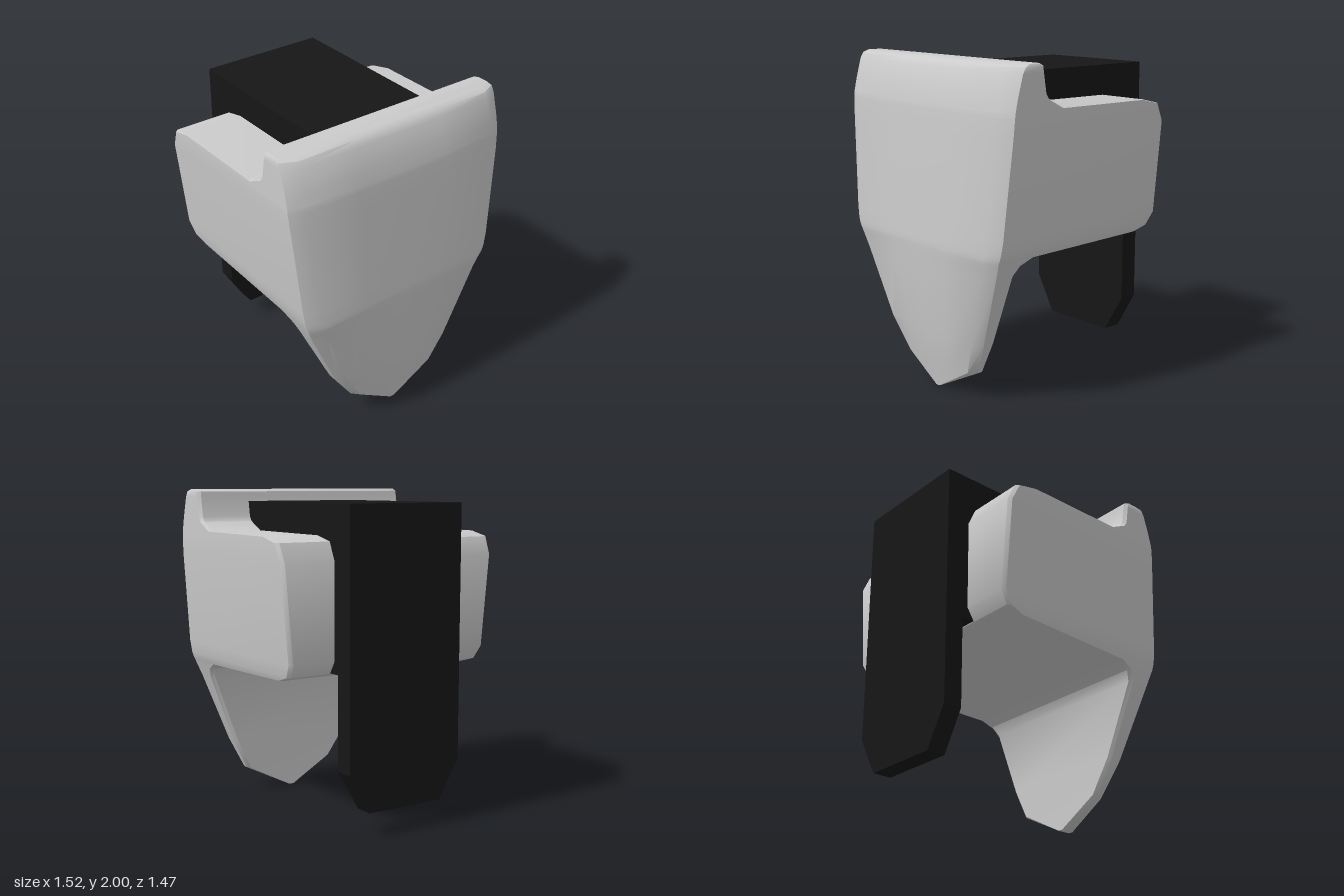
import * as THREE from 'three';
import { toCreasedNormals } from 'three/addons/utils/BufferGeometryUtils.js';

// Shield and rear block: horizontal sections stacked upward.
// Each row: y, front z, back z, left x, right x, sideways fall of the front face
const ROWS = [
  [0.00, 0.62, 0.53, 0.015, 0.05, 0],
  [0.16, 0.655, 0.53, -0.28, 0.37, 0.03],
  [0.36, 0.69, 0.525, -0.42, 0.465, 0.03],
  [0.80, 0.727, 0.52, -0.63, 0.63, 0.02],
  [0.86, 0.731, 0.485, -0.655, 0.655, 0.015],
  [0.90, 0.734, 0.40, -0.67, 0.67, 0.01],
  [0.92, 0.735, -0.43, -0.677, 0.68, 0.01],
  [0.95, 0.734, -0.53, -0.687, 0.69, 0.01],
  [1.03, 0.73, -0.58, -0.70, 0.705, 0.01],
  [1.60, 0.70, -0.58, -0.755, 0.755, 0.01],
  [1.71, 0.693, -0.53, -0.765, 0.76, 0.01],
  [1.74, 0.69, -0.40, -0.765, 0.76, 0.01],
  [1.745, 0.689, 0.26, -0.765, 0.76, 0.01],
  [1.80, 0.675, 0.37, -0.765, 0.76, 0.008],
  [1.83, 0.668, 0.39, -0.765, 0.76, 0.008],
  [1.95, 0.63, 0.41, -0.765, 0.76, 0.004],
  [1.985, 0.605, 0.415, -0.765, 0.76, 0],
  [2.00, 0.57, 0.435, -0.755, 0.75, 0],
];

// One closed section, counter-clockwise from above, with bevelled corners
function section([y, zf, zb, xl, xr, fall]) {
  const mid = (xl + xr) / 2, half = (xr - xl) / 2;
  const bevel = Math.min(0.045, half * 0.15);
  const back = Math.min(0.02, half * 0.1);
  const front = [[0.4, fall * 0.3], [0.87, fall], [1, fall + bevel]];
  const right = front.map(([u, d]) => [mid + u * half, zf - d]);
  const left = front.map(([u, d]) => [mid - u * half, zf - d]).reverse();
  return [
    ...left, [mid, zf], ...right,
    [xr, zb + back], [xr - back, zb], [xl + back, zb], [xl, zb + back],
  ].map(([x, z]) => [x, y, z]);
}

function loft(sections) {
  const n = sections[0].length, pos = sections.flat(2), idx = [];
  for (let i = 0; i < sections.length - 1; i++) {
    for (let j = 0; j < n; j++) {
      const a = i * n + j, b = i * n + (j + 1) % n;
      idx.push(a, b, b + n, a, b + n, a + n);
    }
  }
  // Flat end caps
  const top = (sections.length - 1) * n;
  for (let j = 1; j < n - 1; j++) {
    idx.push(0, j + 1, j, top, top + j, top + j + 1);
  }
  const geo = new THREE.BufferGeometry();
  geo.setAttribute('position', new THREE.Float32BufferAttribute(pos, 3));
  geo.setIndex(idx);
  return toCreasedNormals(geo, 0.6);
}

export function createModel() {
  const group = new THREE.Group();
  const grey = new THREE.MeshStandardMaterial({ color: 0xcccccc });
  const black = new THREE.MeshStandardMaterial({ color: 0x161616 });
  const add = (name, geo, mat) => {
    const mesh = new THREE.Mesh(geo, mat);
    mesh.name = name;
    group.add(mesh);
    return mesh;
  };

  add('shieldAndBlock', loft(ROWS.map(section)), grey);

  // Strap: a thick part over the block and a flap hanging behind it
  const x0 = -0.38, x1 = 0.41;
  const body = add('strapTop', new THREE.BoxGeometry(x1 - x0, 0.97, 1.015), black);
  body.position.set((x0 + x1) / 2, 1.44, -0.1075);

  const flap = new THREE.Shape([
    [x0, 1.925], [x0, 0.39], [x0 + 0.14, 0.15], [x1 - 0.14, 0.15], [x1, 0.39], [x1, 1.925],
  ].map(([x, y]) => new THREE.Vector2(x, y)));
  const flapGeo = new THREE.ExtrudeGeometry(flap, { depth: 0.12, bevelEnabled: false });
  add('strapFlap', flapGeo, black).position.z = -0.735;

  // Front end of the strap, against the back of the shield
  const end = add('strapEnd', new THREE.BoxGeometry(x1 - x0, 0.2, 0.1), black);
  end.position.set((x0 + x1) / 2, 1.825, 0.36);

  return group;
}
